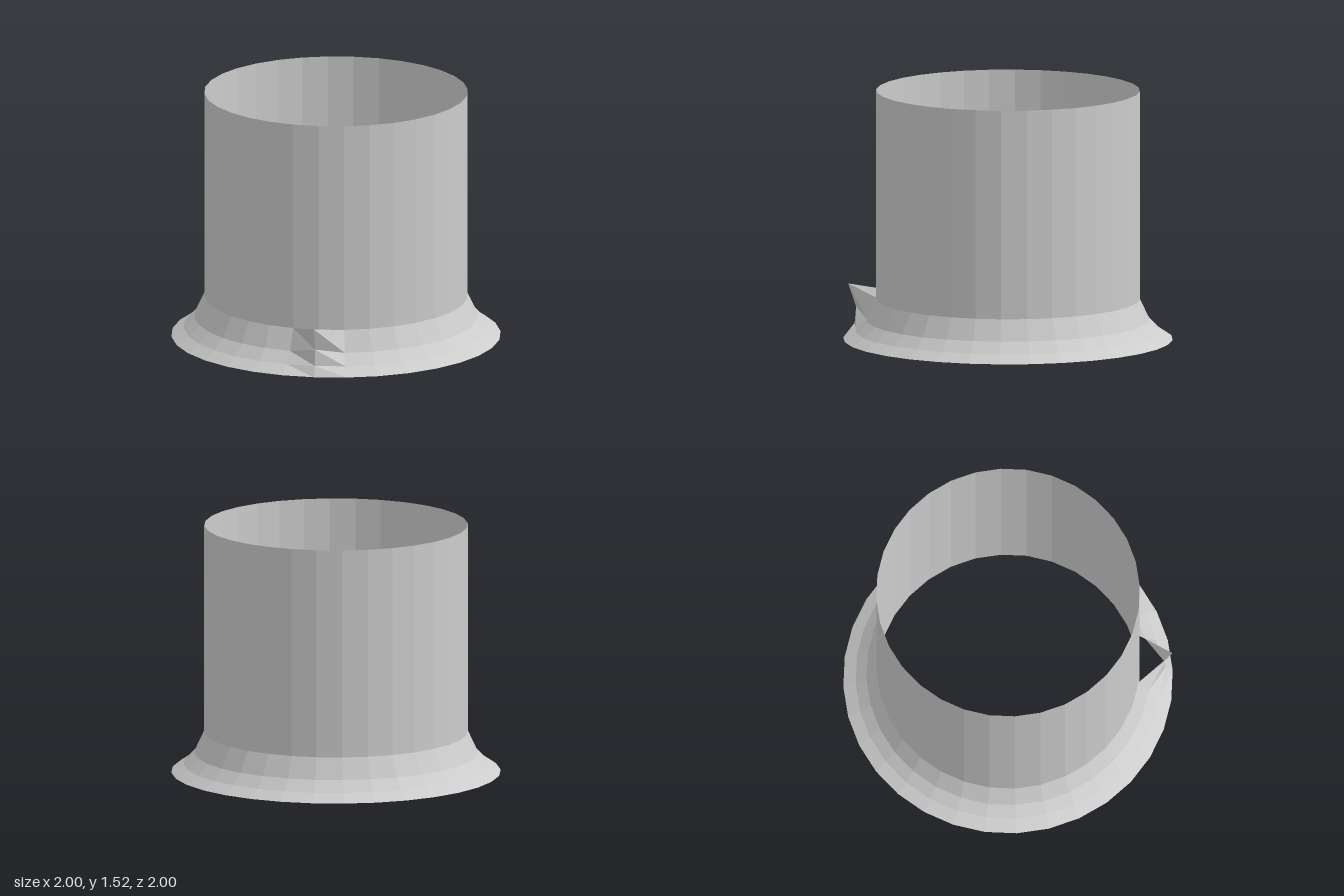
import * as THREE from 'three';

const SIDES = 32;

export function createModel() {
  const model = new THREE.Group();
  const material = new THREE.MeshStandardMaterial({
    color: 0xcccccc, flatShading: true, side: THREE.DoubleSide,
  });
  const addPart = (name, geometry) => {
    const mesh = new THREE.Mesh(geometry, material);
    mesh.name = name;
    model.add(mesh);
  };

  // Open thin-walled tube, standing on the ground
  const height = 1.525;
  const tube = new THREE.CylinderGeometry(0.8, 0.8, height, SIDES, 1, true);
  addPart('tube', tube.translate(0, height / 2, 0));

  // Flared skirt around the foot, as [radius, height] from the rim upwards
  const profile = [[1, 0], [0.925, 0.05], [0.86, 0.117], [0.8, 0.245]];
  const skirt = new THREE.LatheGeometry(profile.map(([r, y]) => new THREE.Vector2(r, y)), SIDES);

  // One section of the skirt is bent outwards into a raised spike
  const spikeIndex = 27;
  const spikeProfile = [[1, 0], [0.96, 0.06], [0.95, 0.16], [1, 0.3]];
  const angle = (spikeIndex / SIDES) * Math.PI * 2;
  spikeProfile.forEach(([r, y], j) => {
    skirt.attributes.position.setXYZ(
      spikeIndex * profile.length + j, r * Math.sin(angle), y, r * Math.cos(angle));
  });
  skirt.computeVertexNormals();
  addPart('flaredSkirt', skirt);

  return model;
}
